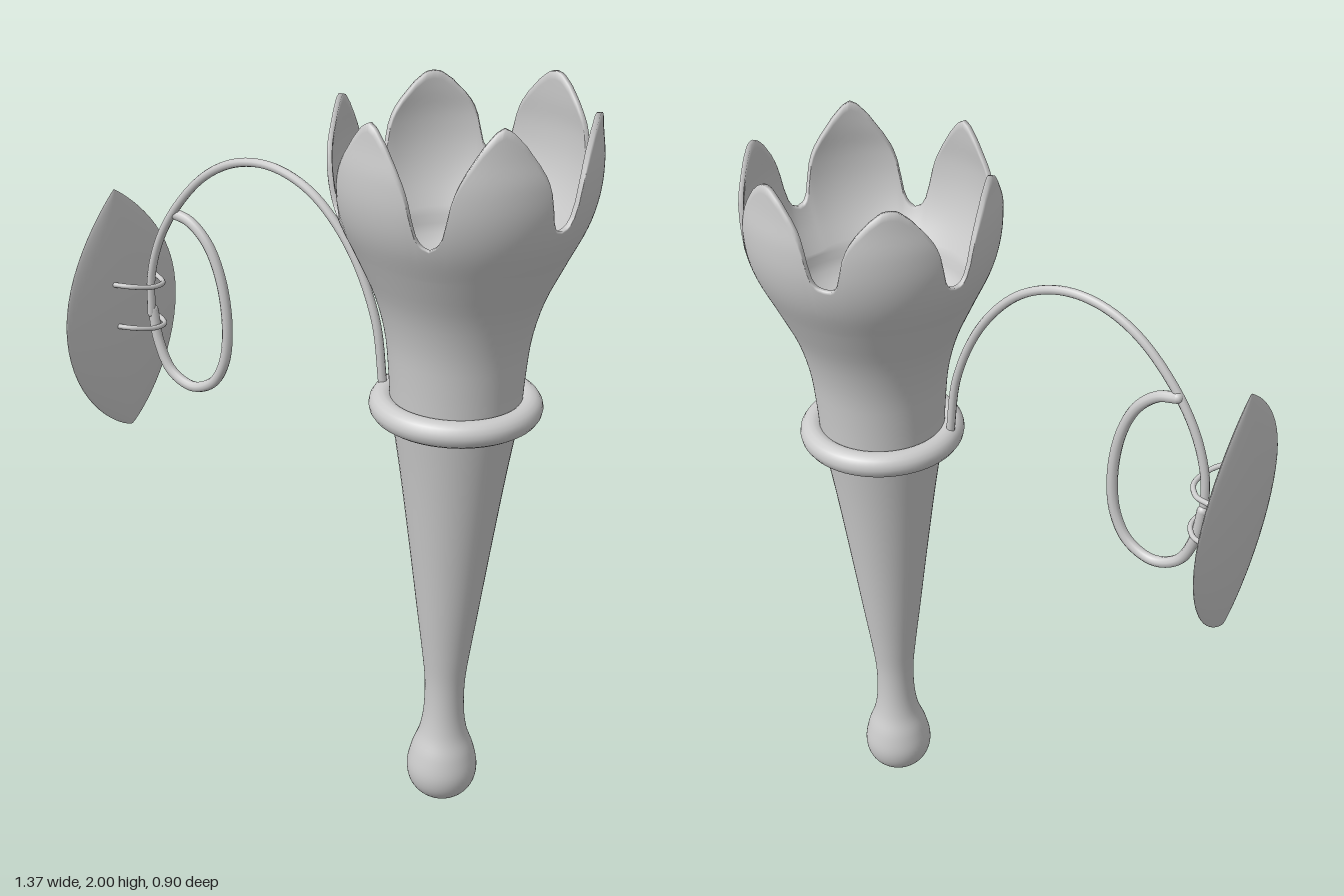
import * as THREE from 'three';

const V = (x, y, z) => new THREE.Vector3(x, y, z);
const material = new THREE.MeshStandardMaterial({ color: 0xcccccc, side: THREE.DoubleSide });

function part(name, geometry, parent) {
  const mesh = new THREE.Mesh(geometry, material);
  mesh.name = name;
  parent.add(mesh);
  return mesh;
}

// Linear interpolation through sorted [input, value] pairs
function lerpTable(table, t) {
  let i = 1;
  while (i < table.length - 1 && t > table[i][0]) i++;
  const [a, va] = table[i - 1], [b, vb] = table[i];
  return va + (vb - va) * THREE.MathUtils.clamp((t - a) / (b - a), 0, 1);
}

// Smooth lathe profile from a few [radius, height] points
function lathe(points) {
  const curve = new THREE.SplineCurve(points.map(([r, y]) => new THREE.Vector2(r, y)));
  const profile = curve.getPoints(60).map(p => new THREE.Vector2(Math.max(p.x, 0), p.y));
  return new THREE.LatheGeometry(profile, 48);
}

// Swept rod with rounded ends
function rod(name, points, radius, parent) {
  const curve = new THREE.CatmullRomCurve3(points);
  part(name, new THREE.TubeGeometry(curve, points.length * 8, radius, 10), parent);
  for (const p of [points[0], points[points.length - 1]]) {
    part(name + 'End', new THREE.SphereGeometry(radius, 10, 8), parent).position.copy(p);
  }
}

// Flared cup: a wall rising to a rim cut into six petals, then down inside to a bowl
function cupGeometry() {
  const N = 240, start = 1.2, bend = 1.62, floorRows = 10, floorDepth = 0.14;
  const radiusCurve = new THREE.SplineCurve([
    [1.2, 0.166], [1.3, 0.172], [1.4, 0.183], [1.5, 0.21], [1.6, 0.255],
    [1.7, 0.302], [1.78, 0.323], [1.86, 0.327], [1.93, 0.319], [2.0, 0.314],
  ].map(([y, r]) => new THREE.Vector2(y, r)));
  const radii = radiusCurve.getPoints(120).map(p => [p.x, p.y]);
  // Rim height from petal tip (0) to valley (1)
  const petal = [[0, 2.0], [0.12, 1.992], [0.3, 1.962], [0.5, 1.918], [0.62, 1.885],
    [0.69, 1.855], [0.74, 1.815], [0.79, 1.775], [0.87, 1.75], [1, 1.742]];
  const tipDrop = [0.015, 0, 0.02, 0, 0.025, 0.03];
  const rim = a => {
    const turn = a * 3 / Math.PI + 0.5;
    const u = Math.abs((turn % 1) - 0.5) * 2;
    return lerpTable(petal, u) - 0.035 * u * Math.cos(a) - tipDrop[Math.floor(turn) % 6] * (1 - u);
  };
  const rows = [];
  for (let i = 0; i < 14; i++) rows.push(() => [start + (bend - start) * i / 14, 0]);
  for (let i = 0; i <= 18; i++) rows.push(h => [bend + (h - bend) * i / 18, 0]);
  for (let i = 18; i >= 0; i--) rows.push(h => [bend + (h - bend) * i / 18, 0.018 - 0.006 * i / 18]);

  const position = [], index = [];
  const add = (r, y, a) => position.push(r * Math.sin(a), y, r * Math.cos(a));
  for (const row of rows) {
    for (let j = 0; j < N; j++) {
      const a = j / N * 2 * Math.PI, [y, inset] = row(rim(a));
      add(lerpTable(radii, y) - inset, y, a);
    }
  }
  // Rounded bowl floor
  const floorRadius = lerpTable(radii, bend) - 0.018;
  for (let i = 1; i <= floorRows; i++) {
    const t = i / floorRows * Math.PI / 2;
    for (let j = 0; j < N; j++) {
      add(floorRadius * Math.cos(t), bend - floorDepth * Math.sin(t), j / N * 2 * Math.PI);
    }
  }
  for (let i = 0; i < rows.length + floorRows - 1; i++) {
    for (let j = 0; j < N; j++) {
      const k = (j + 1) % N, a = i * N + j, b = i * N + k, c = b + N, d = a + N;
      index.push(a, b, c, a, c, d);
    }
  }
  const geometry = new THREE.BufferGeometry();
  geometry.setAttribute('position', new THREE.Float32BufferAttribute(position, 3));
  geometry.setIndex(index);
  geometry.computeVertexNormals();
  return geometry;
}

// Lens-shaped leaf with thin edges, blunter at the bottom than at the top
function leafGeometry() {
  const geometry = new THREE.SphereGeometry(1, 48, 32);
  const p = geometry.attributes.position;
  for (let i = 0; i < p.count; i++) {
    const x = p.getX(i), y = p.getY(i), z = p.getZ(i);
    const taper = Math.pow(Math.max(1 - y * y, 0), y > 0 ? 0.45 : 0.3);
    p.setXYZ(i, 0.033 * x * (0.25 + 0.75 * Math.abs(x)), y * 0.345, z * 0.252 * taper);
  }
  geometry.computeVertexNormals();
  return geometry;
}

export function createModel() {
  const model = new THREE.Group();
  model.name = 'flowerHolder';

  // Tapered holder with a rounded foot and a collar, leaning back very slightly
  const holder = new THREE.Group();
  holder.name = 'holder';
  holder.position.set(0.357, 0, -0.122);
  holder.rotation.x = -0.005;
  model.add(holder);
  part('stem', lathe([[0, 0.003], [0.05, 0.015], [0.085, 0.05], [0.097, 0.1], [0.086, 0.16],
    [0.065, 0.22], [0.055, 0.29], [0.055, 0.38], [0.066, 0.48], [0.082, 0.6],
    [0.108, 0.8], [0.138, 1.02], [0.166, 1.2]]), holder);
  part('petalCup', cupGeometry(), holder);
  const collar = part('collar', new THREE.TorusGeometry(0.186, 0.034, 16, 64), holder);
  collar.rotation.x = Math.PI / 2;
  collar.position.y = 1.205;

  // Arched rod lying in one upright slanted plane
  const onPlane = ([x, y]) => V(x, y, 0.015 - 0.254 * x);
  rod('archedRod', [[0.19, 1.22], [0.165, 1.4], [0.095, 1.565], [0, 1.678], [-0.085, 1.727],
    [-0.17, 1.743], [-0.26, 1.728], [-0.35, 1.678], [-0.44, 1.583], [-0.505, 1.475],
    [-0.54, 1.36], [-0.545, 1.25]].map(onPlane), 0.0115, model);

  // Finger loop curling back up to the rod
  rod('fingerLoop', [[-0.545, 1.26], [-0.53, 1.17], [-0.49, 1.09], [-0.42, 1.06], [-0.35, 1.09],
    [-0.31, 1.16], [-0.297, 1.27], [-0.315, 1.4], [-0.355, 1.49], [-0.41, 1.54],
    [-0.46, 1.553]].map(([x, y]) => onPlane([x, y]).add(V(0, 0, -0.006))), 0.0145, model);

  // Leaf pin standing across the end of the rod
  const leaf = part('leaf', leafGeometry(), model);
  leaf.position.set(-0.606, 1.255, 0.205);
  leaf.rotation.set(0, 0.32, 0.03);

  // Two wire clips holding the rod to the leaf
  for (const y of [1.34, 1.22]) {
    rod('clip', [V(-0.605, y - 0.005, 0.095), V(-0.56, y - 0.01, 0.103), V(-0.525, y - 0.005, 0.13),
      V(-0.514, y, 0.175), V(-0.527, y + 0.01, 0.225), V(-0.565, y + 0.015, 0.262)], 0.007, model);
  }
  return model;
}
